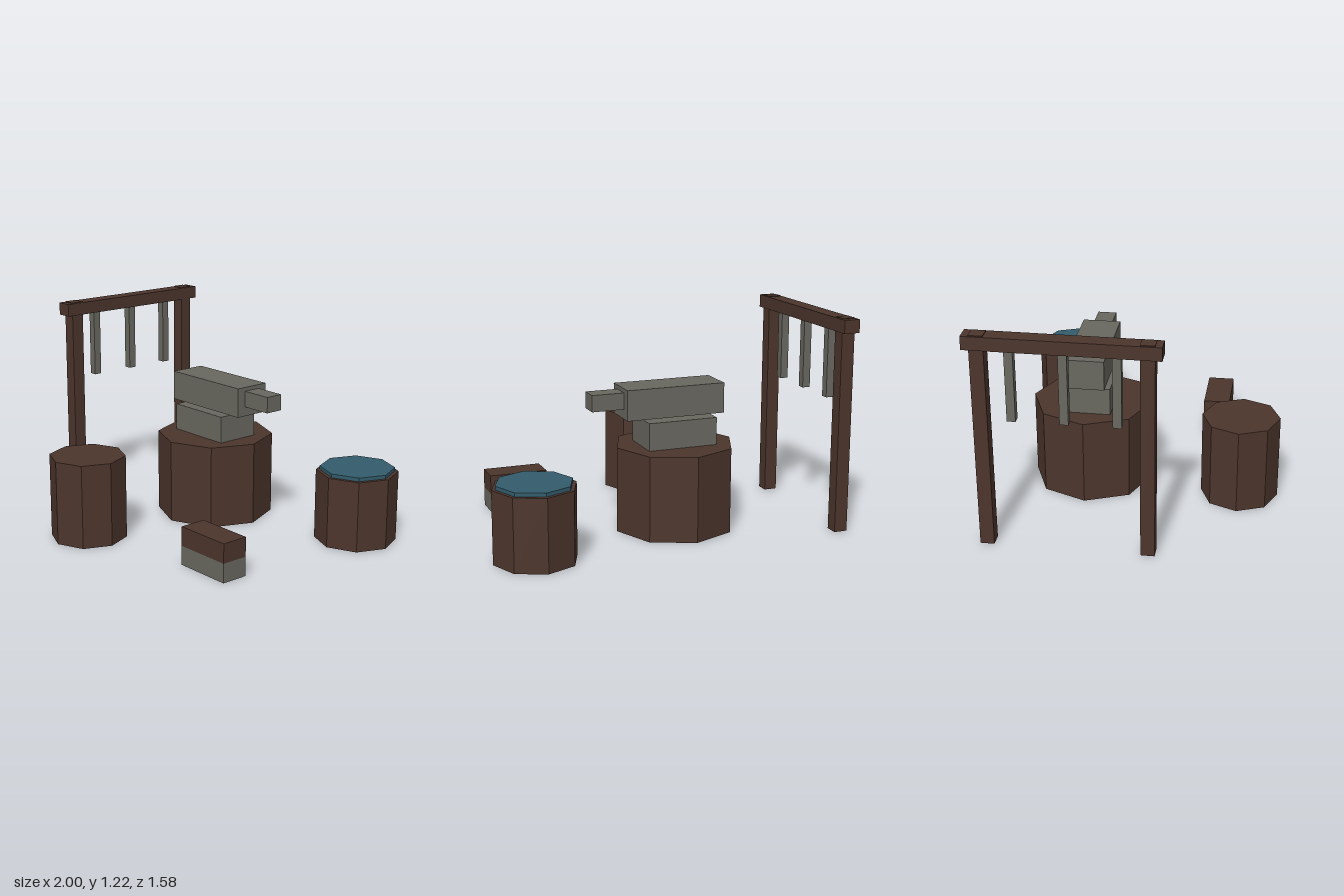
import * as THREE from 'three';

const material = (name, color) => {
  const m = new THREE.MeshStandardMaterial({ color, flatShading: true });
  m.name = name;
  return m;
};

export function createModel() {
  const wood = material('dark wood', 0x4c352c);
  const iron = material('grey iron', 0x68675f);
  const water = material('blue water', 0x335b6b);
  const model = new THREE.Group();
  model.name = 'smithy';

  const group = (name) => {
    const g = new THREE.Group();
    g.name = name;
    model.add(g);
    return g;
  };
  const add = (parent, name, geometry, mat, x, y, z) => {
    const mesh = new THREE.Mesh(geometry, mat);
    mesh.name = name;
    mesh.position.set(x, y, z);
    parent.add(mesh);
  };
  // Box given by its extents on each axis
  const box = (parent, name, mat, [x0, x1], [y0, y1], [z0, z1]) =>
    add(parent, name, new THREE.BoxGeometry(x1 - x0, y1 - y0, z1 - z0), mat,
      (x0 + x1) / 2, (y0 + y1) / 2, (z0 + z1) / 2);
  // Upright eight-sided drum
  const drum = (parent, name, mat, x, z, r, y0, y1) =>
    add(parent, name, new THREE.CylinderGeometry(r, r, y1 - y0, 8), mat, x, (y0 + y1) / 2, z);

  // Anvil on its stump
  const anvil = group('anvil');
  drum(anvil, 'anvilStump', wood, -0.135, -0.286, 0.342, 0, 0.485);
  box(anvil, 'anvilBase', iron, [-0.337, 0.066], [0.485, 0.641], [-0.417, -0.155]);
  box(anvil, 'anvilBody', iron, [-0.39, 0.185], [0.659, 0.83], [-0.394, -0.178]);
  box(anvil, 'anvilHorn', iron, [0.18, 0.37], [0.714, 0.807], [-0.34, -0.232]);

  // Plain stump
  drum(group('stool'), 'stoolStump', wood, -0.252, 0.573, 0.218, 0, 0.485);

  // Quenching barrel
  const barrel = group('barrel');
  drum(barrel, 'barrelBody', wood, 0.767, -0.561, 0.232, 0, 0.407);
  drum(barrel, 'waterSurface', water, 0.767, -0.561, 0.211, 0.39, 0.428);

  // Tool rack: two posts, a beam and hanging bars
  const rack = group('toolRack');
  box(rack, 'rackBeam', wood, [-1, -0.908], [1.137, 1.211], [-0.792, 0.221]);
  for (const z of [0.147, -0.716])
    box(rack, 'rackPost', wood, [-0.992, -0.916], [0.006, 1.215], [z - 0.038, z + 0.038]);
  for (const z of [-0.009, -0.283, -0.557])
    box(rack, 'hangingBar', iron, [-0.977, -0.931], [0.741, 1.14], [z - 0.023, z + 0.023]);

  // Small block with an iron foot
  const block = group('block');
  box(block, 'blockFoot', iron, [0.438, 0.778], [0, 0.11], [0.301, 0.457]);
  box(block, 'blockTop', wood, [0.438, 0.778], [0.11, 0.221], [0.301, 0.457]);

  return model;
}
